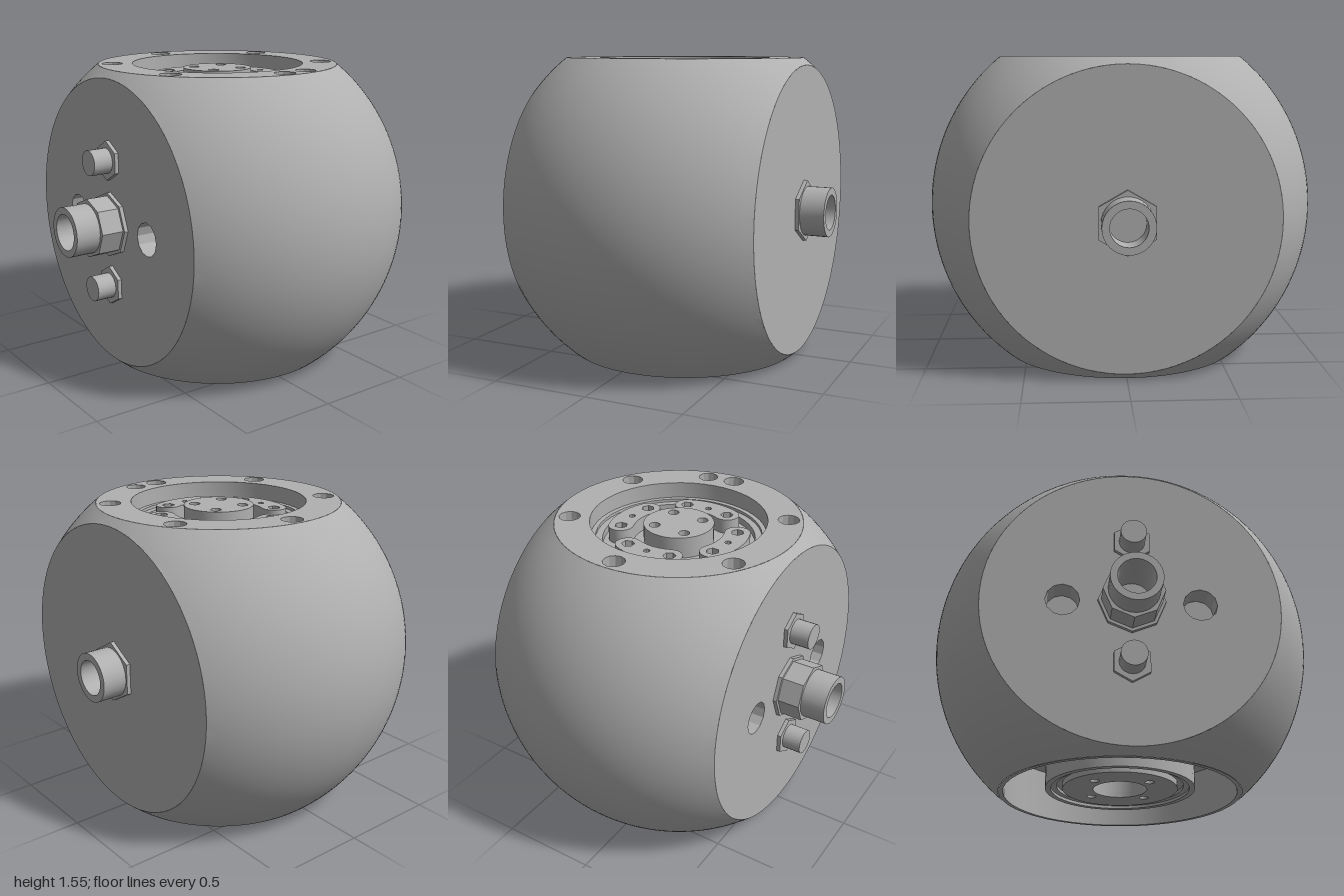
import * as THREE from 'three';
import { toCreasedNormals } from 'three/addons/utils/BufferGeometryUtils.js';

const metal = new THREE.MeshStandardMaterial({ color: 0xb0b0b0 });
metal.name = 'grey metal';

const MID_Y = 0.777, MID_Z = -0.06, TOP = 1.555;
const HALF_Z = 0.67, FACE_R = Math.sqrt(1 - HALF_Z * HALF_Z), TOP_R = 0.628;

export function createModel() {
  const model = new THREE.Group();
  model.name = 'ballValveBody';
  const core = new THREE.Group();
  core.name = 'core';
  core.position.z = MID_Z;
  model.add(core);

  const add = (name, geo, x = 0, y = 0, z = 0, parent = core) => {
    const mesh = new THREE.Mesh(geo, metal);
    mesh.name = name;
    mesh.position.set(x, y, z);
    parent.add(mesh);
    return mesh;
  };
  const lathe = (pts, sides = 48) =>
    toCreasedNormals(new THREE.LatheGeometry(pts.map(p => new THREE.Vector2(...p)), sides), 0.5);
  const circle = (r, n, cx = 0, cy = 0) => Array.from({ length: n }, (_, i) => {
    const a = (i / n) * Math.PI * 2;
    return new THREE.Vector2(cx + r * Math.cos(a), cy + r * Math.sin(a));
  });
  // flat outline with round holes given as [x, y, radius, sides]
  const plate = (outline, holes) => {
    const s = new THREE.Shape(outline);
    holes.forEach(([x, y, r, n = 12]) => s.holes.push(new THREE.Path(circle(r, n, x, y))));
    return s;
  };
  const slab = (shape, depth) =>
    toCreasedNormals(new THREE.ExtrudeGeometry(shape, { depth, bevelEnabled: false }).rotateX(-Math.PI / 2), 0.5);
  const pocket = (r, depth) => lathe([[r, 0], [r, -depth], [0, -depth]], 12);

  // Ball shell between the top and bottom cuts, trimmed flat at front and back
  const arc = [];
  const lo = Math.asin(-MID_Y), hi = Math.asin(TOP - MID_Y);
  for (let i = 0; i <= 56; i++) {
    const t = lo + (hi - lo) * i / 56;
    arc.push(new THREE.Vector2(Math.cos(t), Math.sin(t)));
  }
  const src = new THREE.LatheGeometry(arc, 128).toNonIndexed().attributes.position;
  const kept = [], v = new THREE.Vector3();
  for (let i = 0; i < src.count; i += 3) {
    const tri = [];
    let onFace = 0;
    for (let k = 0; k < 3; k++) {
      v.fromBufferAttribute(src, i + k);
      if (Math.abs(v.z) >= HALF_Z) {
        const s = FACE_R / (Math.hypot(v.x, v.y) || 1);
        v.set(v.x * s, v.y * s, Math.sign(v.z) * HALF_Z);
        onFace++;
      }
      tri.push(v.x, v.y, v.z);
    }
    if (onFace < 3) kept.push(...tri);
  }
  const shell = new THREE.BufferGeometry();
  shell.setAttribute('position', new THREE.Float32BufferAttribute(kept, 3));
  add('ballShell', toCreasedNormals(shell, 0.6), 0, MID_Y, 0);

  // Front face with two blind ports, and plain back face
  const ports = [-0.34, 0.34];
  add('frontFace', new THREE.ShapeGeometry(plate(circle(FACE_R, 96), ports.map(x => [x, 0, 0.085]))), 0, MID_Y, HALF_Z);
  ports.forEach(x => add('frontPort', pocket(0.085, 0.12).rotateX(Math.PI / 2), x, MID_Y, HALF_Z));
  add('backFace', new THREE.ShapeGeometry(new THREE.Shape(circle(FACE_R, 96))).rotateY(Math.PI), 0, MID_Y, -HALF_Z);

  // Top flange with bolt holes
  const bolts = [];
  for (let i = 0; i < 6; i++) {
    const a = i * Math.PI / 3;
    bolts.push([0.555 * Math.cos(a), 0.555 * Math.sin(a), 0.055]);
  }
  bolts.push([0.535, 0.15, 0.052]);
  const flange = plate(circle(TOP_R, 64), [[0, 0, 0.45, 48], ...bolts]);
  add('topFlange', new THREE.ShapeGeometry(flange).rotateX(-Math.PI / 2), 0, TOP, 0);
  bolts.forEach(([x, y, r], i) => {
    add('boltHole', pocket(r, 0.14), x, TOP, -y);
    if (i < 6) add('boltSocket', new THREE.CylinderGeometry(0.03, 0.03, 0.02, 6), x, TOP - 0.13, -y);
  });

  // Stepped top recess
  add('topRecess', lathe([[0.45, TOP], [0.45, 1.47], [0.425, 1.47], [0.425, 1.455],
    [0.39, 1.455], [0.39, 1.42], [0, 1.42]]));

  // Central hub with four screw holes
  const four = d => [[d, d], [-d, d], [-d, -d], [d, -d]];
  add('hub', slab(plate(circle(0.18, 40), four(0.088).map(([x, y]) => [x, y, 0.028])), 0.11), 0, 1.42, 0);

  // Four curved clamp plates around the hub
  const R = 0.3, W = 0.065, A = 0.42, bean = [];
  const sweep = (cx, cy, r, a0, a1) => {
    for (let i = 0; i <= 12; i++) {
      const a = a0 + (a1 - a0) * i / 12;
      bean.push(new THREE.Vector2(cx + r * Math.cos(a), cy + r * Math.sin(a)));
    }
  };
  sweep(0, 0, R + W, -A, A);
  sweep(R * Math.cos(A), R * Math.sin(A), W, A, A + Math.PI);
  sweep(0, 0, R - W, A, -A);
  sweep(R * Math.cos(A), -R * Math.sin(A), W, Math.PI - A, 2 * Math.PI - A);
  const hx = R * Math.cos(A), hy = R * Math.sin(A);
  const clamp = slab(plate(bean, [[hx, hy, 0.033, 6], [hx, -hy, 0.033, 6], [R - 0.01, 0, 0.017, 8]]), 0.075);
  for (let i = 0; i < 4; i++) add('clampPlate', clamp, 0, 1.42, 0).rotation.y = i * Math.PI / 2;

  // Bottom recess: skirt wall, drilled ceiling and central boss
  add('bottomSkirt', lathe([[0.605, 0.26], [0.605, 0], [TOP_R, 0]], 48));
  const drill = bolts.slice(0, 6).map(([x, y]) => [x * 0.95, y * 0.95, 0.03]);
  add('recessCeiling', new THREE.ShapeGeometry(plate(circle(0.605, 48), [[0, 0, 0.39, 48], ...drill]))
    .rotateX(Math.PI / 2), 0, 0.26, 0);
  drill.forEach(([x, y, r]) => add('drillHole', pocket(r, 0.08).rotateX(Math.PI), x, 0.26, y));
  add('bottomBoss', lathe([[0, 0.3], [0.14, 0.3], [0.14, 0.06], [0.33, 0.06], [0.33, 0.045],
    [0.36, 0.045], [0.36, 0.03], [0.39, 0.03], [0.39, 0.26]]));
  add('bossPlate', slab(plate(circle(0.3, 40), [[0, 0, 0.14, 48], ...four(0.14).map(([x, y]) => [x, y, 0.025])]), 0.03),
    0, 0.03, 0);

  // Pipe fittings, built along y then turned to point forward
  const fitting = (name, y, parts, back = false) => {
    const g = new THREE.Group();
    g.name = name;
    g.position.set(0, y, back ? -HALF_Z : HALF_Z);
    if (back) g.rotation.y = Math.PI;
    core.add(g);
    parts.forEach(([part, pts, sides]) =>
      add(part, lathe(pts, sides).rotateX(Math.PI / 2), 0, 0, 0, g));
  };
  const pipe = (r, bore, len) => [[r, 0], [r, len], [bore, len], [bore, 0.02], [0, 0.02]];
  const collar = (r, bore, h) => [[r, 0], [r, h], [bore, h]];

  fitting('frontPipe', MID_Y, [
    ['pipeWasher', collar(0.168, 0.1, 0.02), 8],
    ['pipeNut', collar(0.152, 0.1, 0.135), 8],
    ['pipeTube', pipe(0.127, 0.092, 0.262), 32],
  ]);
  fitting('backPipe', MID_Y, [
    ['pipeNut', collar(0.158, 0.1, 0.02), 6],
    ['pipeTube', pipe(0.127, 0.09, 0.145), 32],
  ], true);
  [0.45, 1.11].forEach(y => fitting('frontStud', y, [
    ['studNut', collar(0.102, 0.05, 0.02), 6],
    ['studPin', [[0.065, 0], [0.065, 0.12], [0, 0.12]], 20],
  ]));

  return model;
}
